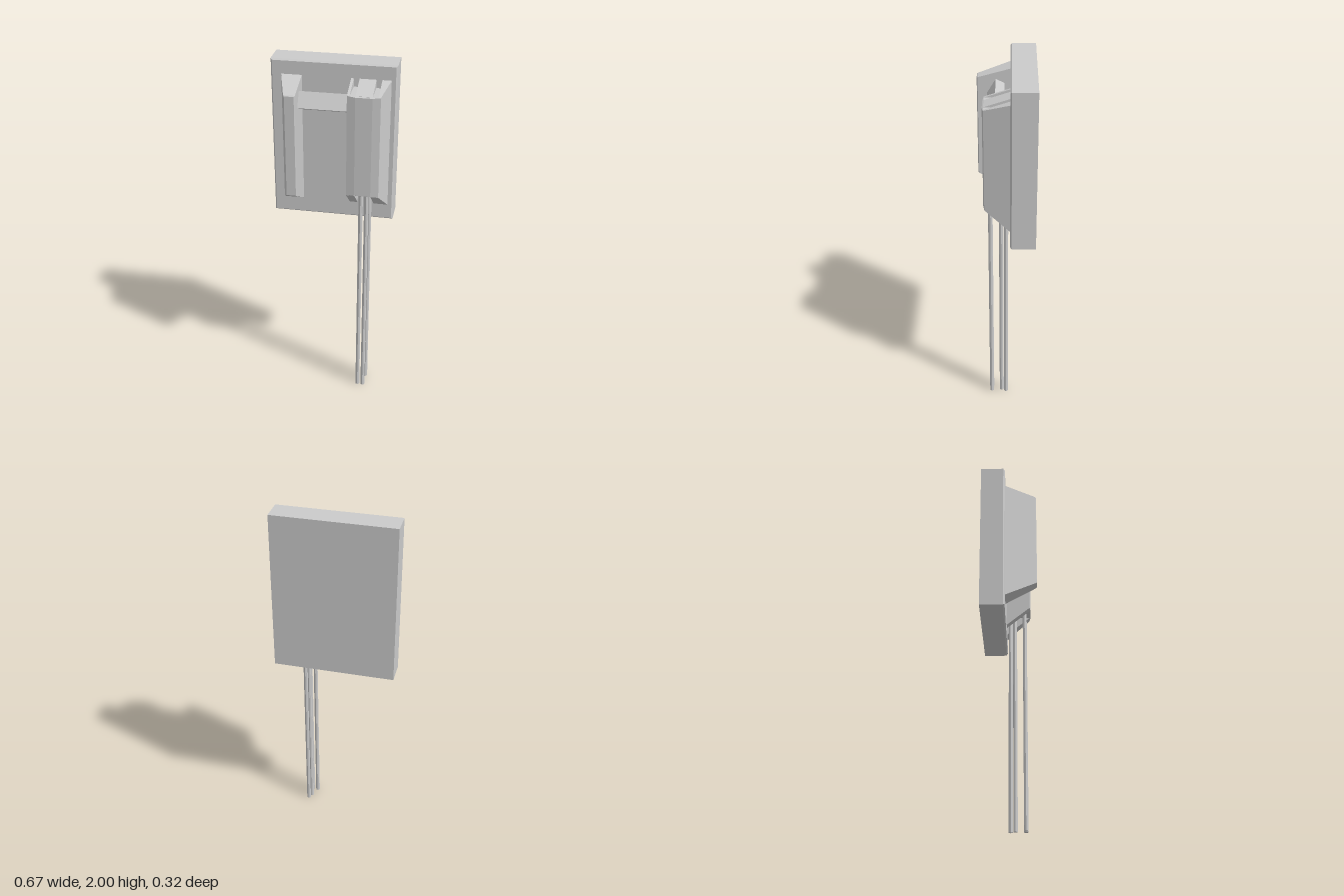
import * as THREE from 'three';

const material = new THREE.MeshStandardMaterial({ color: 0xcccccc, flatShading: true });

// Box whose back and front rectangles [x0, x1, y0, y1] differ
function taper(z0, back, z1, front) {
  const geo = new THREE.BoxGeometry(1, 1, 1);
  const p = geo.attributes.position;
  for (let i = 0; i < p.count; i++) {
    const isFront = p.getZ(i) > 0;
    const r = isFront ? front : back;
    p.setXYZ(i, r[p.getX(i) > 0 ? 1 : 0], r[p.getY(i) > 0 ? 3 : 2], isFront ? z1 : z0);
  }
  geo.computeVertexNormals();
  return geo;
}

export function createModel() {
  const model = new THREE.Group();
  const add = (parent, name, geo) => {
    const mesh = new THREE.Mesh(geo, material);
    mesh.name = name;
    parent.add(mesh);
    return mesh;
  };
  const group = (name) => {
    const g = new THREE.Group();
    g.name = name;
    model.add(g);
    return g;
  };

  // Backing plate with a chamfered front rim
  const plate = group('backPlate');
  const full = [-0.333, 0.333, 1.11, 2];
  add(plate, 'plateBody', taper(-0.159, full, -0.03, full));
  add(plate, 'plateChamfer', taper(-0.03, full, -0.021, [-0.325, 0.325, 1.118, 1.992]));

  // Tall tapered support on the right, with a small front chamfer
  const support = group('rightSupport');
  const supportFront = [-0.228, -0.167, 1.298, 1.872];
  add(support, 'supportBody', taper(-0.021, [-0.277, -0.167, 1.2, 1.92], 0.153, supportFront));
  add(support, 'supportChamfer', taper(0.153, supportFront, 0.158, [-0.223, -0.172, 1.303, 1.867]));

  // Housing on the left
  const housing = group('leftHousing');
  const Z0 = -0.021, Z1 = 0.113, LOW = 1.31, HIGH = 1.875;
  const housingFront = [0.093, 0.267, LOW, HIGH];
  add(housing, 'housingBody', taper(Z0, [0.093, 0.303, LOW, HIGH], Z1, housingFront));
  add(housing, 'housingFace', taper(Z1, housingFront, 0.12, [0.137, 0.225, LOW + 0.004, HIGH - 0.004]));

  // Sloping ribs on top, divided by two slots: [x0, back x1, front x1]
  for (const [x0, xb, xf] of [[0.093, 0.107, 0.107], [0.137, 0.225, 0.225], [0.255, 0.303, 0.267]]) {
    add(housing, 'topRib', taper(Z0, [x0, xb, HIGH, 1.92], Z1, [x0, xf, HIGH, HIGH + 0.001]));
  }
  // Sloping feet underneath, either side of the cable channel
  for (const [x0, xb, xf] of [[0.093, 0.137, 0.137], [0.225, 0.303, 0.267]]) {
    add(housing, 'bottomRib', taper(Z0, [x0, xb, 1.2, LOW], Z1, [x0, xf, LOW - 0.001, LOW]));
  }

  // Tilted crossbar; profile is drawn as (-z, y) and swept along x
  const profile = new THREE.Shape(
    [[0.01, 1.84], [0.057, 1.862], [0.103, 1.785], [0.056, 1.762]].map(([z, y]) => new THREE.Vector2(-z, y)));
  const bar = new THREE.ExtrudeGeometry(profile, { depth: 0.26, bevelEnabled: false });
  bar.rotateY(Math.PI / 2);
  bar.translate(-0.167, 0, 0);
  add(model, 'crossbar', bar);

  // Four hanging cables
  const cables = group('cables');
  for (const [x, z] of [[0.169, 0.084], [0.2, 0.084], [0.192, 0.026], [0.205, 0]]) {
    const cable = add(cables, 'cable', new THREE.CylinderGeometry(0.012, 0.012, 1.312, 8));
    cable.position.set(x, 0.656, z);
  }
  return model;
}
